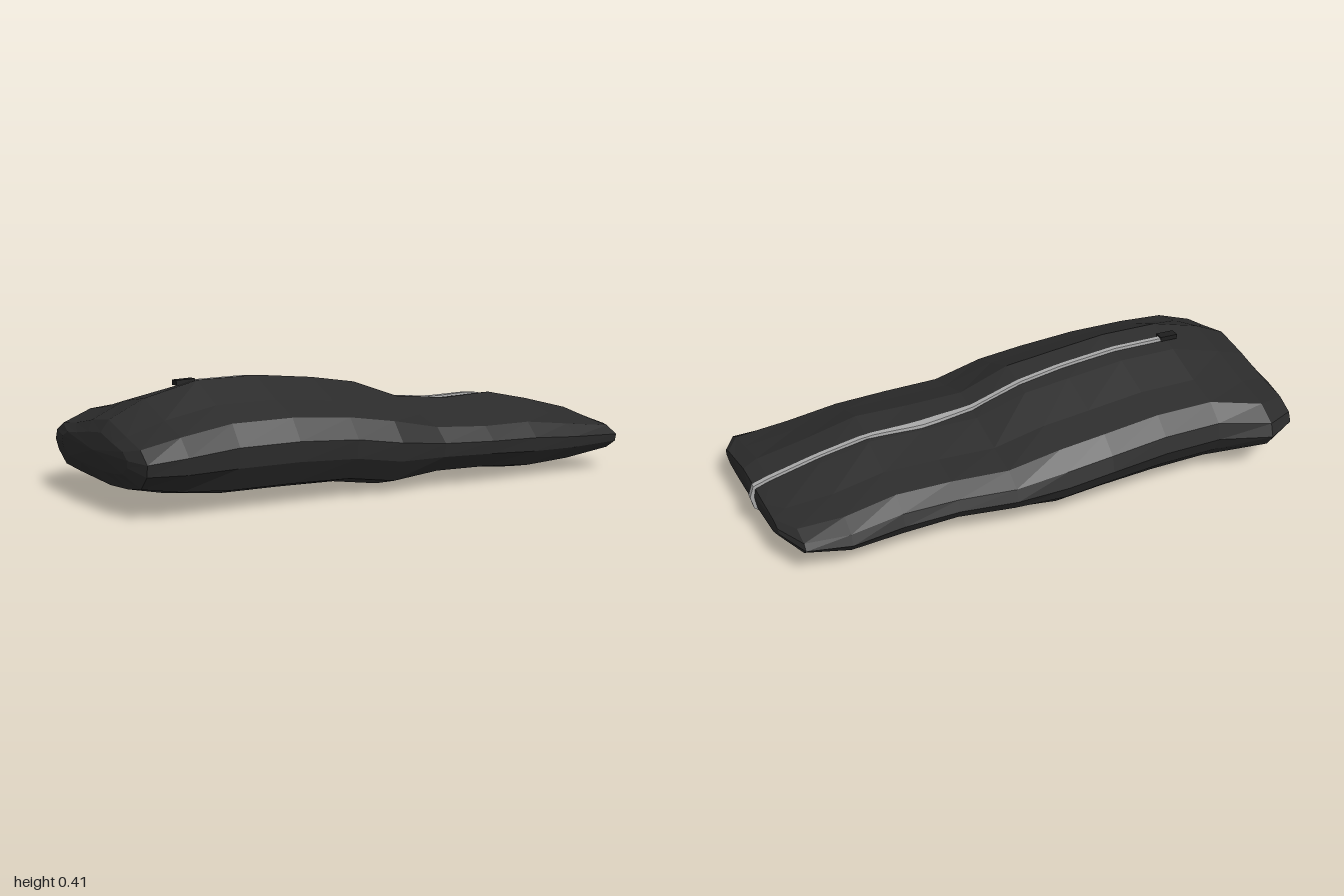
import * as THREE from 'three';

// Stations along the bag: x, back z, front z, bottom y, top y, skew of x towards the front
const stations = [
  [-0.985, -0.24, 0.33, 0.125, 0.25, 0],
  [-0.955, -0.38, 0.415, 0.075, 0.29, 0],
  [-0.83, -0.45, 0.449, 0.048, 0.35, 0],
  [-0.64, -0.39, 0.425, 0.024, 0.4, 0],
  [-0.42, -0.39, 0.428, 0.024, 0.405, 0],
  [-0.2, -0.4, 0.435, 0.022, 0.385, 0],
  [-0.03, -0.39, 0.449, 0.0, 0.36, 0],
  [0.16, -0.375, 0.435, 0.026, 0.295, 0],
  [0.36, -0.335, 0.449, 0.028, 0.28, 0],
  [0.56, -0.325, 0.442, 0.01, 0.288, 0],
  [0.75, -0.34, 0.44, 0.025, 0.25, 0],
  [0.925, -0.305, 0.445, 0.06, 0.205, 0.022],
  [0.978, -0.19, 0.36, 0.09, 0.185, 0.018],
];

// Cross-section in -1..1 units: front edge, over the top, back edge, underneath
const profile = [
  [1, 0], [0.87, 0.38], [0.6, 0.63], [0.25, 1], [-0.12, 0.83], [-0.5, 0.57], [-0.8, 0.43], [-0.96, 0.14],
  [-1, -0.18], [-0.93, -0.5], [-0.75, -0.88], [-0.4, -0.94], [0.25, -1], [0.6, -0.92], [0.87, -0.77], [0.985, -0.36],
];

const sectionPoint = ([x, zb, zf, yb, yt, skew], [u, v]) => [
  x + skew * u,
  (yb + yt) / 2 + v * (yt - yb) / 2,
  (zb + zf) / 2 + u * (zf - zb) / 2,
];

function geometryFrom(points, index) {
  const g = new THREE.BufferGeometry();
  g.setAttribute('position', new THREE.Float32BufferAttribute(points.flat(), 3));
  g.setIndex(index);
  const flat = g.toNonIndexed();
  flat.computeVertexNormals();
  return flat;
}

// Skin a row of closed rings and fan both ends to a centre point
function loft(rings, startTip, endTip) {
  const n = rings[0].length;
  const points = [...rings.flat(), startTip, endTip];
  const start = rings.length * n;
  const last = start - n;
  const index = [];
  for (let j = 0; j < n; j++) {
    const k = (j + 1) % n;
    for (let i = 0; i < rings.length - 1; i++) {
      const a = i * n + j, b = a + n, c = (i + 1) * n + k, d = i * n + k;
      index.push(a, b, c, a, c, d);
    }
    index.push(start, j, k, start + 1, last + k, last + j);
  }
  return geometryFrom(points, index);
}

// Height of the upper skin at a given x and z
function topHeight(x, z) {
  let i = 0;
  while (i < stations.length - 2 && stations[i + 1][0] < x) i++;
  const t = (x - stations[i][0]) / (stations[i + 1][0] - stations[i][0]);
  const s = stations[i].map((v, k) => THREE.MathUtils.lerp(v, stations[i + 1][k], t));
  const top = profile.slice(0, 8).map((p) => sectionPoint(s, p));
  let j = 0;
  while (j < top.length - 2 && top[j + 1][2] > z) j++;
  const f = (z - top[j][2]) / (top[j + 1][2] - top[j][2]);
  return THREE.MathUtils.lerp(top[j][1], top[j + 1][1], f);
}

// Raised strip following a path of [x, y, z, half width]
function strip(path, lift) {
  const rings = path.map(([x, y, z, w], i) => {
    const p = path[Math.max(i - 1, 0)], q = path[Math.min(i + 1, path.length - 1)];
    const len = Math.hypot(q[0] - p[0], q[1] - p[1]);
    const nx = -(q[1] - p[1]) / len, ny = (q[0] - p[0]) / len;
    return [[w, -0.008], [w * 0.85, lift], [-w * 0.85, lift], [-w, -0.008]].map(([dz, h]) => [x + nx * h, y + ny * h, z + dz]);
  });
  return loft(rings, path[0].slice(0, 3), path[path.length - 1].slice(0, 3));
}

export function createModel() {
  const model = new THREE.Group();
  const paint = (name, color) => {
    const m = new THREE.MeshStandardMaterial({ color });
    m.name = name;
    m.flatShading = true;
    return m;
  };
  const fabric = paint('black fabric', 0x2b2b2b);
  const metal = paint('zip grey', 0xaaaaaa);
  const dark = paint('slider black', 0x1e1e1e);
  const add = (name, geometry, material) => {
    const mesh = new THREE.Mesh(geometry, material);
    mesh.name = name;
    model.add(mesh);
    return mesh;
  };

  // Padded bag
  const rings = stations.map((s) => profile.map((p) => sectionPoint(s, p)));
  add('bagBody', loft(rings, [-1, 0.19, 0.08], [0.985, 0.14, 0.08]), fabric);

  // Zip running along the top and down over the foot end
  const zipZ = (x) => 0.033 + 0.009 * (x + 0.6) / 1.6;
  const path = [];
  for (let i = 0; i <= 32; i++) {
    const x = -0.615 + i * 0.048;
    const w = 0.012 + 0.008 * Math.exp(-(((x - 0.33) / 0.12) ** 2));
    path.push([x, topHeight(x, zipZ(x)), zipZ(x), w]);
  }
  path.push([0.975, 0.178, 0.043, 0.012], [0.987, 0.14, 0.045, 0.012], [0.978, 0.097, 0.046, 0.013], [0.94, 0.066, 0.046, 0.013]);
  add('zip', strip(path, 0.009), metal);

  // Slider at the head end of the zip
  const slider = add('zipSlider', new THREE.BoxGeometry(0.07, 0.018, 0.034), dark);
  slider.position.set(-0.65, topHeight(-0.65, 0.036) + 0.007, 0.036);
  slider.rotation.z = 0.04;

  return model;
}
